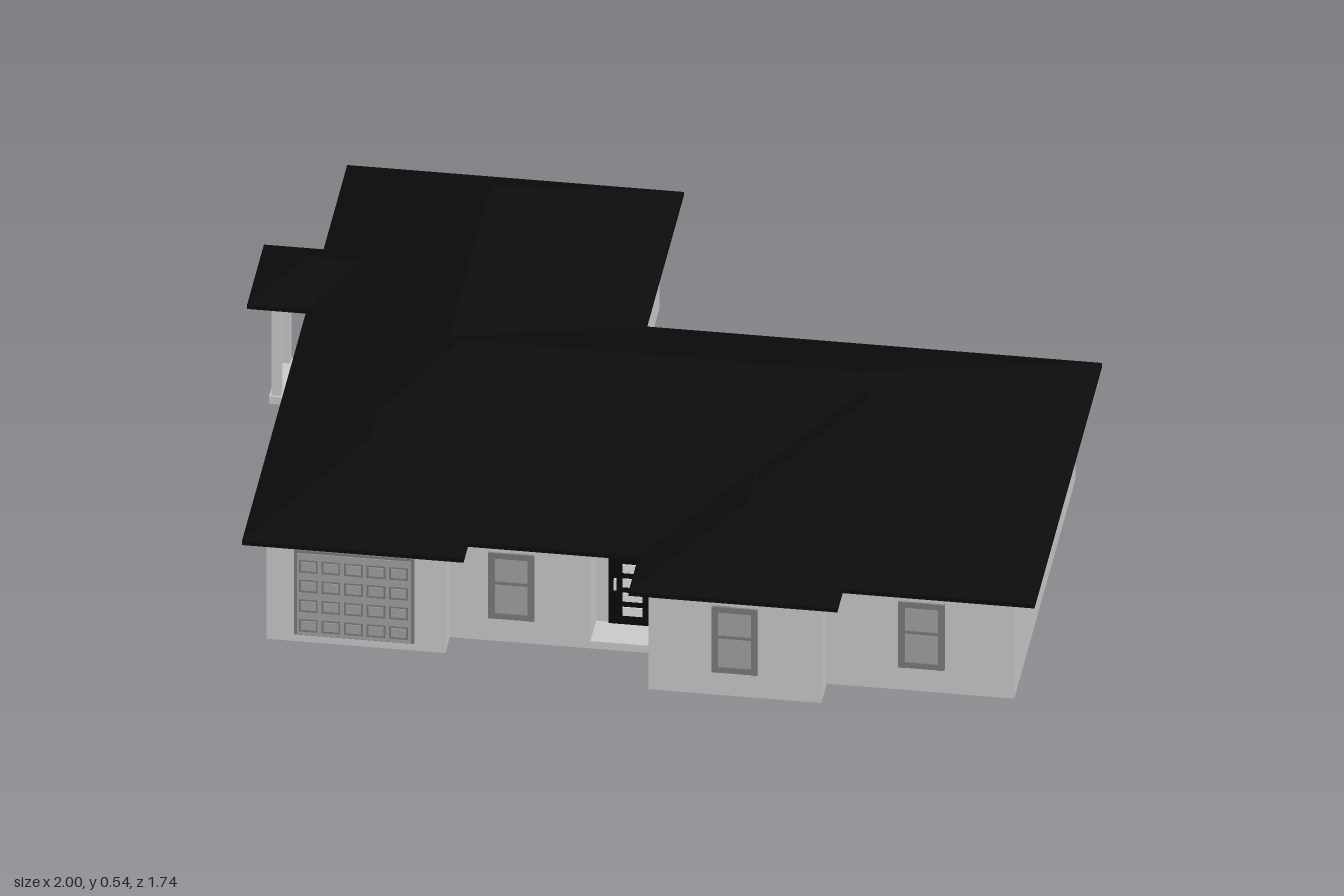
import * as THREE from 'three';

const mat = (name, color, side = THREE.FrontSide) => {
  const m = new THREE.MeshStandardMaterial({ color, side });
  m.name = name;
  return m;
};

export function createModel() {
  const M = {
    wall: mat('wall grey', 0xcbcbcb),
    roof: mat('roof black', 0x0c0c0c, THREE.DoubleSide),
    frame: mat('frame grey', 0x7c7c7a),
    glass: mat('pane grey', 0xa3a3a3),
    step: mat('paving grey', 0x7d7772),
    black: mat('door black', 0x0a0a0a),
    white: mat('white', 0xe6e6e6),
  };
  const house = new THREE.Group();
  house.name = 'house';

  const add = (parent, name, geometry, material) => {
    const mesh = new THREE.Mesh(geometry, material);
    mesh.name = name;
    parent.add(mesh);
    return mesh;
  };
  // Box given by its limits on each axis
  const box = (parent, name, material, x0, x1, y0, y1, z0, z1) => {
    const mesh = add(parent, name, new THREE.BoxGeometry(x1 - x0, y1 - y0, z1 - z0), material);
    mesh.position.set((x0 + x1) / 2, (y0 + y1) / 2, (z0 + z1) / 2);
    return mesh;
  };
  // Upright prism over a floor plan of [x, z] points
  const prism = (name, plan, y0, y1, material) => {
    const shape = new THREE.Shape(plan.map(([x, z]) => new THREE.Vector2(x, -z)));
    const g = new THREE.ExtrudeGeometry(shape, { depth: y1 - y0, bevelEnabled: false });
    g.rotateX(-Math.PI / 2);
    g.translate(0, y0, 0);
    return add(house, name, g, material);
  };

  // Walls, with a recess for the front entry
  const back = [[0.945, 0.73], [0.945, -0.23], [-0.12, -0.23], [-0.12, -0.82], [-0.81, -0.82], [-0.81, 0.73]];
  const garageCorner = [[-0.39, 0.73], [-0.39, 0.66]];
  const frontBay = [[0.1, 0.815], [0.505, 0.815], [0.505, 0.73]];
  prism('floorSlab', [...back, ...garageCorner, [0.1, 0.66], ...frontBay], 0, 0.02, M.wall);
  prism('walls', [...back, ...garageCorner, [-0.06, 0.66], [-0.06, 0.57], [0.1, 0.57], ...frontBay], 0.02, 0.282, M.wall);

  // Hipped roofs: eaves rectangle, ridge along one axis from r0 to r1
  const EAVE = 0.295;
  const hipRoof = (name, [x0, x1, z0, z1], axis, r0, r1, rise) => {
    const top = EAVE + rise, cx = (x0 + x1) / 2, cz = (z0 + z1) / 2;
    const a = [x0, EAVE, z0], b = [x1, EAVE, z0], c = [x1, EAVE, z1], d = [x0, EAVE, z1];
    const alongX = axis === 'x';
    const p = alongX ? [r0, top, cz] : [cx, top, r0];
    const q = alongX ? [r1, top, cz] : [cx, top, r1];
    const tris = alongX
      ? [d, c, q, d, q, p, b, a, p, b, p, q, a, d, p, c, b, q]
      : [a, d, q, a, q, p, c, b, p, c, p, q, b, a, p, d, c, q];
    const g = new THREE.BufferGeometry();
    g.setAttribute('position', new THREE.Float32BufferAttribute(tris.flat(), 3));
    g.computeVertexNormals();
    const roof = new THREE.Group();
    roof.name = name;
    house.add(roof);
    add(roof, 'roofSlopes', g, M.roof);
    box(roof, 'fascia', M.roof, x0, x1, 0.284, EAVE, z0, z1);
    box(roof, 'soffit', M.frame, x0 + 0.006, x1 - 0.006, 0.281, 0.284, z0 + 0.006, z1 - 0.006);
  };
  hipRoof('mainRoof', [-0.86, 1, -0.28, 0.71], 'x', -0.43, 0.505, 0.24);
  hipRoof('rearWingRoof', [-0.86, -0.07, -0.87, 0.71], 'z', -0.485, 0.2, 0.221);
  hipRoof('garageRoof', [-0.86, -0.34, 0.2, 0.78], 'z', 0.4, 0.52, 0.143);
  hipRoof('rightRoof', [0.07, 1, -0.28, 0.78], 'z', 0.185, 0.315, 0.225);
  hipRoof('frontBayRoof', [0.06, 0.55, 0.3, 0.865], 'z', 0.45, 0.62, 0.119);
  hipRoof('sidePorchRoof', [-1, -0.6, -0.5, -0.235], 'x', -0.88, -0.745, 0.06);

  // Sash window: panes, surround and middle rail; dir is the way it faces along z
  const sashWindow = (x, z, dir, w = 0.108, y0 = 0.065, y1 = 0.245) => {
    const g = new THREE.Group();
    g.name = 'window';
    g.position.set(x, 0, z);
    if (dir < 0) g.rotation.y = Math.PI;
    house.add(g);
    const h = w / 2, t = 0.015, mid = (y0 + y1) / 2 + 0.008;
    box(g, 'panes', M.glass, -h, h, y0, y1, -0.002, 0.003);
    for (const s of [-1, 1]) box(g, 'stile', M.frame, s * h - (s > 0 ? t : 0), s * h + (s < 0 ? t : 0), y0, y1, 0, 0.008);
    for (const y of [y0, mid - t / 4, y1 - t]) {
      box(g, 'rail', M.frame, -h + t, h - t, y, y + (y === y0 || y === y1 - t ? t : t / 2), 0, 0.007);
    }
  };
  sashWindow(-0.245, 0.66, 1);
  sashWindow(0.302, 0.815, 1);
  sashWindow(0.728, 0.73, 1);
  sashWindow(0.7, -0.23, -1);
  sashWindow(-0.225, -0.82, -1, 0.08, 0.09);
  sashWindow(-0.405, -0.82, -1);
  sashWindow(-0.685, -0.82, -1);

  // Garage door with rows of raised panels
  const garage = new THREE.Group();
  garage.name = 'garageDoor';
  house.add(garage);
  box(garage, 'doorEdge', M.frame, -0.745, -0.463, 0.02, 0.252, 0.728, 0.733);
  box(garage, 'doorLeaf', M.glass, -0.738, -0.47, 0.022, 0.245, 0.73, 0.735);
  for (let row = 0; row < 4; row++) {
    for (let col = 0; col < 5; col++) {
      const x = -0.733 + col * 0.053, y = 0.032 + row * 0.054;
      box(garage, 'panelShadow', M.frame, x, x + 0.044, y, y + 0.034, 0.734, 0.737);
      box(garage, 'panel', M.glass, x + 0.005, x + 0.04, y + 0.006, y + 0.03, 0.735, 0.739);
    }
  }

  // Front door with five lights and a handle
  const door = new THREE.Group();
  door.name = 'frontDoor';
  house.add(door);
  box(door, 'doorLeaf', M.black, -0.03, 0.083, 0.02, 0.257, 0.568, 0.576);
  for (let i = 0; i < 5; i++) {
    const y = 0.045 + i * 0.039;
    box(door, 'doorLight', M.white, 0.003, 0.05, y, y + 0.023, 0.574, 0.579);
  }
  box(door, 'doorHandle', M.white, -0.017, -0.011, 0.115, 0.145, 0.575, 0.583);

  // Sliding door and step at the back
  const slider = new THREE.Group();
  slider.name = 'slidingDoor';
  house.add(slider);
  box(slider, 'doorGlass', M.glass, -0.09, 0.135, 0.02, 0.24, -0.233, -0.228);
  for (const x of [-0.09, 0.016, 0.123]) box(slider, 'doorStile', M.frame, x, x + 0.012, 0.02, 0.24, -0.238, -0.23);
  for (const y of [0.02, 0.228]) box(slider, 'doorRail', M.frame, -0.09, 0.135, y, y + 0.012, -0.237, -0.23);
  box(house, 'backStep', M.step, -0.12, 0.16, 0, 0.02, -0.38, -0.23);

  // Side porch slab and posts
  box(house, 'porchSlab', M.wall, -0.955, -0.81, 0, 0.02, -0.455, -0.28);
  for (const z of [-0.45, -0.307]) box(house, 'porchPost', M.wall, -0.95, -0.928, 0.02, 0.282, z, z + 0.022);

  return house;
}
